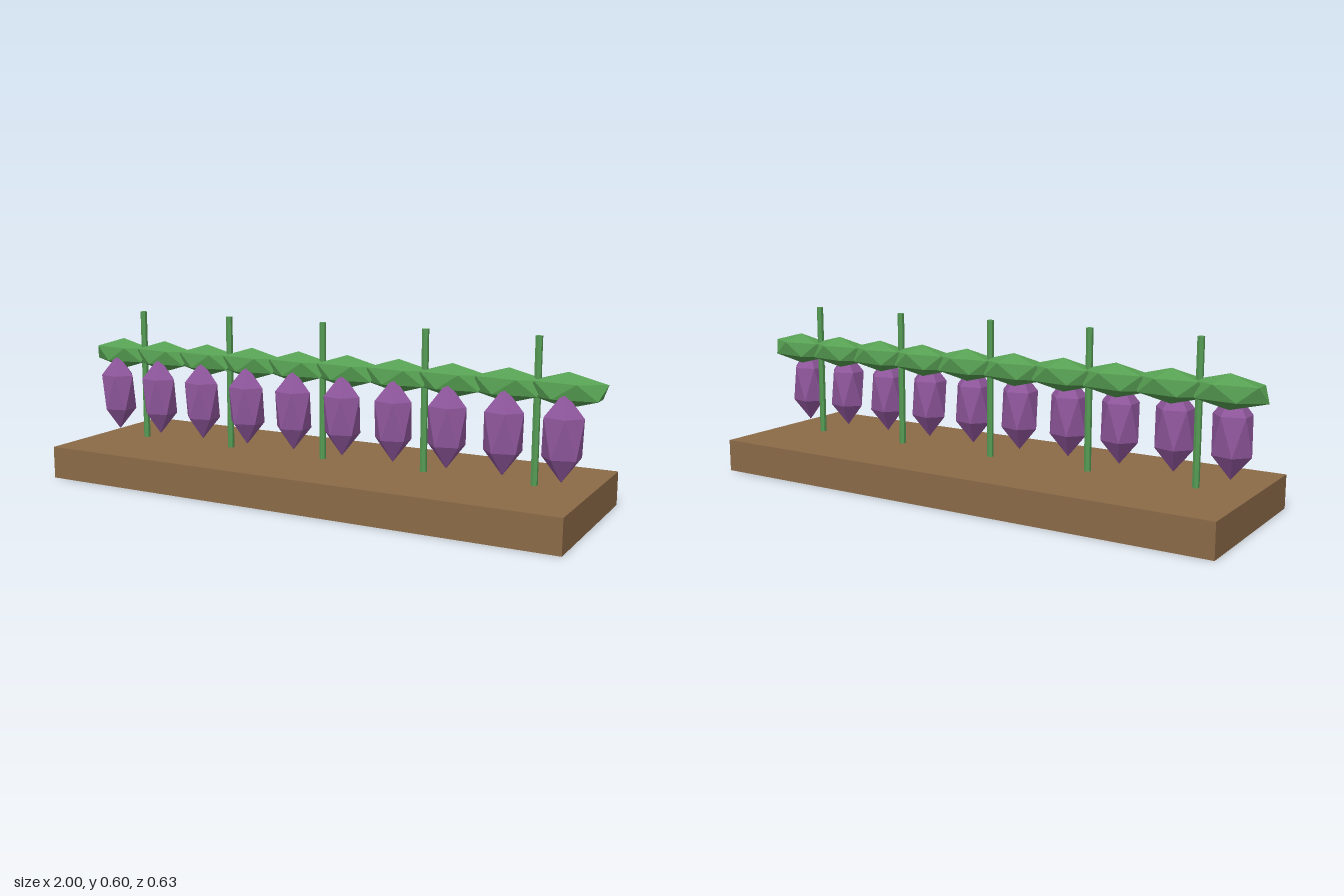
import * as THREE from 'three';
import { ConvexGeometry } from 'three/addons/geometries/ConvexGeometry.js';

// Upright icosahedron: two poles and two staggered rings of five, stretched per axis
function gem(rx, ry, rz) {
  const points = [new THREE.Vector3(0, ry, 0), new THREE.Vector3(0, -ry, 0)];
  const h = 1 / Math.sqrt(5), r = 2 * h;
  for (let i = 0; i < 5; i++) {
    const a = (i * 2 * Math.PI) / 5;
    const x = r * Math.cos(a), z = r * Math.sin(a);
    points.push(new THREE.Vector3(x * rx, h * ry, z * rz));
    points.push(new THREE.Vector3(-x * rx, -h * ry, z * rz));
  }
  return new ConvexGeometry(points);
}

function material(name, color) {
  const m = new THREE.MeshStandardMaterial({ color });
  m.name = name;
  return m;
}

export function createModel() {
  const model = new THREE.Group();
  model.name = 'vineBed';
  const soil = material('soilBrown', 0x8b6a47);
  const vineGreen = material('vineGreen', 0x569f52);
  const stakeGreen = material('stakeGreen', 0x569c55);
  const fruitPurple = material('fruitPurple', 0x8f579c);

  const add = (name, geometry, mat, x, y, z) => {
    const mesh = new THREE.Mesh(geometry, mat);
    mesh.name = name;
    mesh.position.set(x, y, z);
    model.add(mesh);
  };

  // Soil bed
  add('soilBed', new THREE.BoxGeometry(1.93, 0.117, 0.63), soil, 0, 0.0585, 0);

  // Five six-sided stakes
  const stakeGeo = new THREE.CylinderGeometry(0.012, 0.012, 0.5, 6).toNonIndexed();
  stakeGeo.computeVertexNormals();
  for (let i = -2; i <= 2; i++) add('stake', stakeGeo, stakeGreen, i * 0.387, 0.351, 0);

  // Ten overlapping vine clumps, each with a hanging fruit in front
  const clumpGeo = gem(0.1421, 0.0577, 0.0577);
  const fruitGeo = gem(0.075, 0.145, 0.0625);
  for (let i = 0; i < 10; i++) {
    const x = (i - 4.5) * 0.194;
    add('vineClump', clumpGeo, vineGreen, x, 0.436, 0);
    add('fruit', fruitGeo, fruitPurple, x, 0.292, 0.039);
  }
  return model;
}
